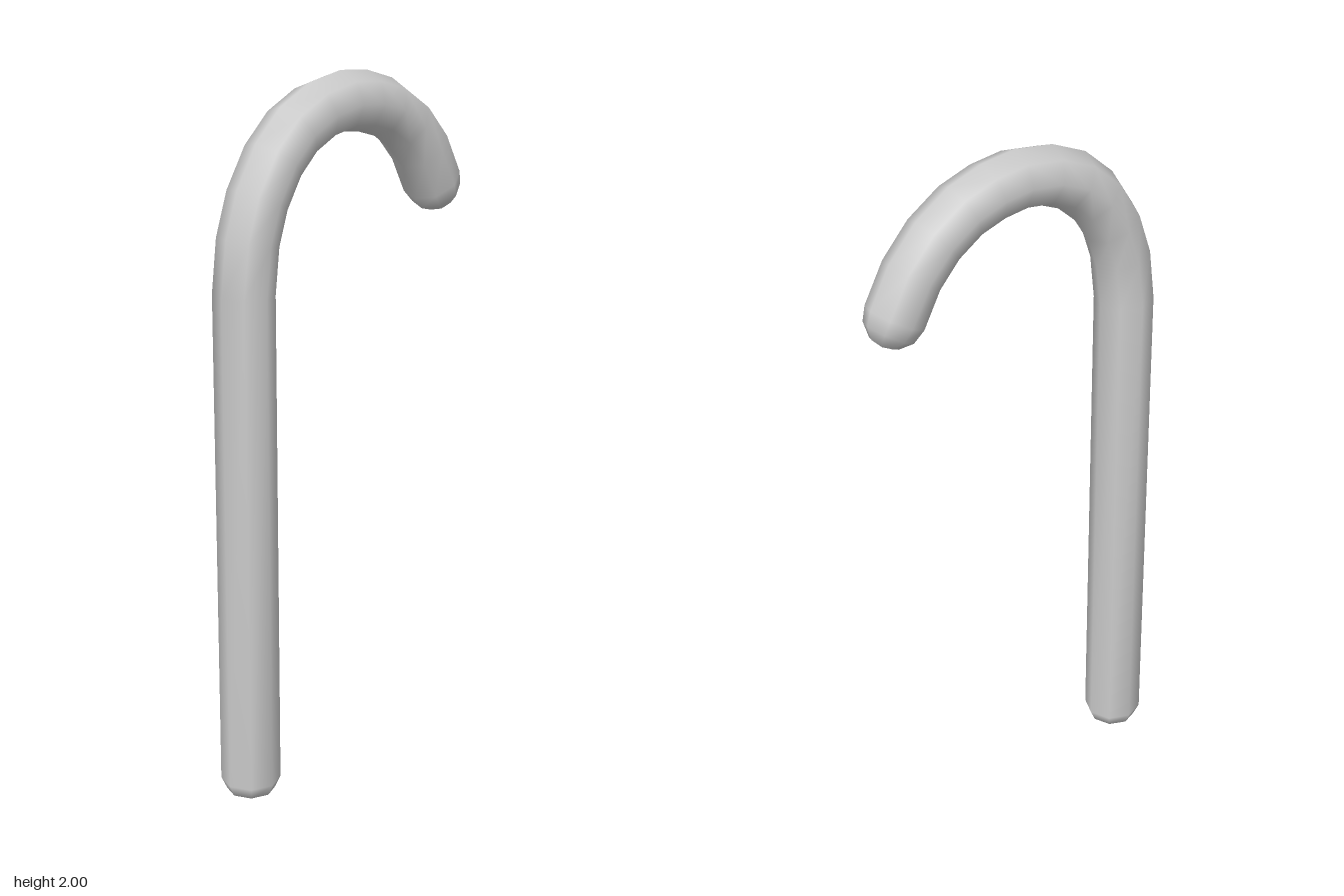
import * as THREE from 'three';
import { mergeVertices } from 'three/addons/utils/BufferGeometryUtils.js';

const SIDES = 8;
const R = 0.083;

// Loft octagonal rings [x, y, radius] along a path in the xy plane
function loft(rings) {
  const pos = [], index = [];
  const centres = rings.map(([x, y]) => new THREE.Vector2(x, y));
  const dir = (i) => centres[i + 1].clone().sub(centres[i]).normalize();
  const last = rings.length - 1;
  rings.forEach(([x, y, r], i) => {
    const t = new THREE.Vector2();
    if (i > 0) t.add(dir(i - 1));
    if (i < last) t.add(dir(i));
    t.normalize();
    for (let j = 0; j < SIDES; j++) {
      const a = (j / SIDES) * Math.PI * 2;
      const c = r * Math.cos(a);
      pos.push(x + t.y * c, y - t.x * c, r * Math.sin(a));
    }
  });
  for (let i = 0; i < last; i++) {
    for (let j = 0; j < SIDES; j++) {
      const a = i * SIDES + j, b = i * SIDES + (j + 1) % SIDES;
      const c = a + SIDES, d = b + SIDES;
      if (rings[i][2] > 0) index.push(a, c, b);
      if (rings[i + 1][2] > 0) index.push(b, c, d);
    }
  }
  const geo = new THREE.BufferGeometry();
  geo.setAttribute('position', new THREE.Float32BufferAttribute(pos, 3));
  geo.setIndex(index);
  const merged = mergeVertices(geo, 1e-5);
  merged.computeVertexNormals();
  return merged;
}

export function createModel() {
  const group = new THREE.Group();
  group.name = 'cane';

  // Rounded foot and straight shaft
  const foot = [[0, 0], [0.008, 0.034], [0.026, 0.067], [0.06, R]]
    .map(([y, r]) => [-0.377, y, r]);

  // Hooked handle
  const hook = [
    [-0.377, 1.463], [-0.36, 1.6], [-0.323, 1.706], [-0.262, 1.8],
    [-0.188, 1.865], [-0.1, 1.903], [0, 1.917], [0.086, 1.906],
    [0.172, 1.877], [0.257, 1.82], [0.328, 1.74],
  ].map(([x, y]) => [x, y, R]);

  // Domed tip at the end of the hook
  const tip = [0, 30, 60, 90].map((deg) => {
    const a = THREE.MathUtils.degToRad(deg);
    const d = R * Math.sin(a);
    return [0.383 + 0.49 * d, 1.635 - 0.87 * d, deg === 90 ? 0 : R * Math.cos(a)];
  });

  const cane = new THREE.Mesh(
    loft([...foot, ...hook, ...tip]),
    new THREE.MeshStandardMaterial({ color: 0xcccccc }),
  );
  cane.name = 'hookedCane';
  group.add(cane);
  return group;
}
